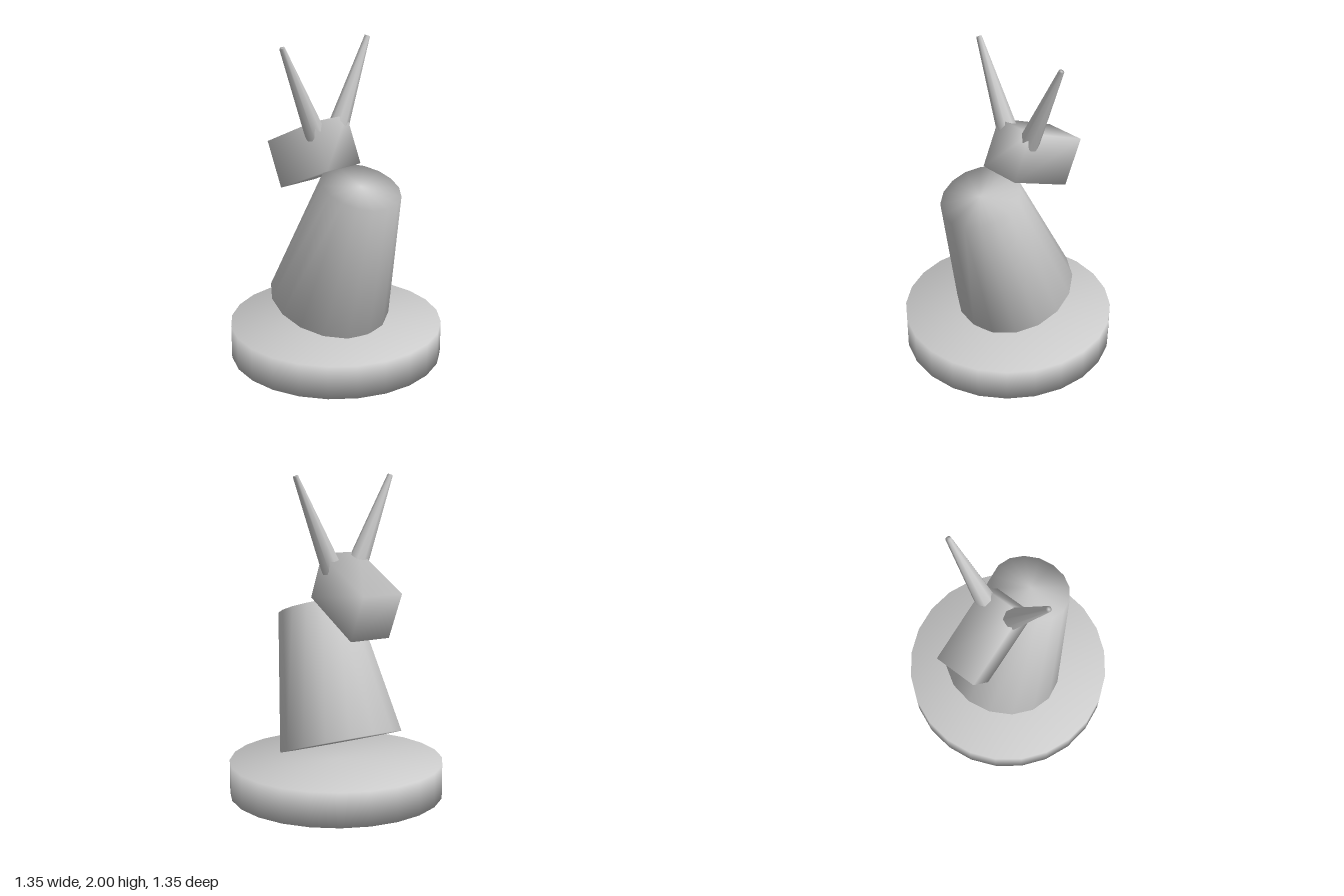
import * as THREE from 'three';
import { mergeVertices } from 'three/addons/utils/BufferGeometryUtils.js';

const material = new THREE.MeshStandardMaterial({ color: 0xcccccc });

// Weld a primitive so shading runs smoothly over all its edges
function softPart(name, geometry, x, y, z) {
  geometry.deleteAttribute('uv');
  geometry.deleteAttribute('normal');
  const welded = mergeVertices(geometry, 1e-4);
  welded.computeVertexNormals();
  const mesh = new THREE.Mesh(welded, material);
  mesh.name = name;
  mesh.position.set(x, y, z);
  return mesh;
}

export function createModel() {
  const model = new THREE.Group();
  model.name = 'horseChessPiece';

  // Round base
  model.add(softPart('base', new THREE.CylinderGeometry(0.675, 0.675, 0.213, 24), 0, 0.1065, 0));

  // Tapered neck, leaning towards +z
  const neck = softPart('neck', new THREE.CylinderGeometry(0.25, 0.39, 0.87, 16), 0, 0.749, 0.087);
  neck.rotation.x = THREE.MathUtils.degToRad(19.6);
  model.add(neck);

  // Head block, nose dipping towards -z
  const head = softPart('head', new THREE.BoxGeometry(0.27, 0.31, 0.5), 0, 1.282, -0.215);
  head.rotation.x = THREE.MathUtils.degToRad(-25);
  model.add(head);

  // Pair of splayed ears, sunk into the head
  for (const side of [1, -1]) {
    const ear = softPart(side > 0 ? 'leftEar' : 'rightEar',
      new THREE.CylinderGeometry(0.017, 0.067, 0.617, 8), side * 0.21, 1.71, -0.088);
    ear.rotation.z = -side * THREE.MathUtils.degToRad(24);
    model.add(ear);
  }

  return model;
}
